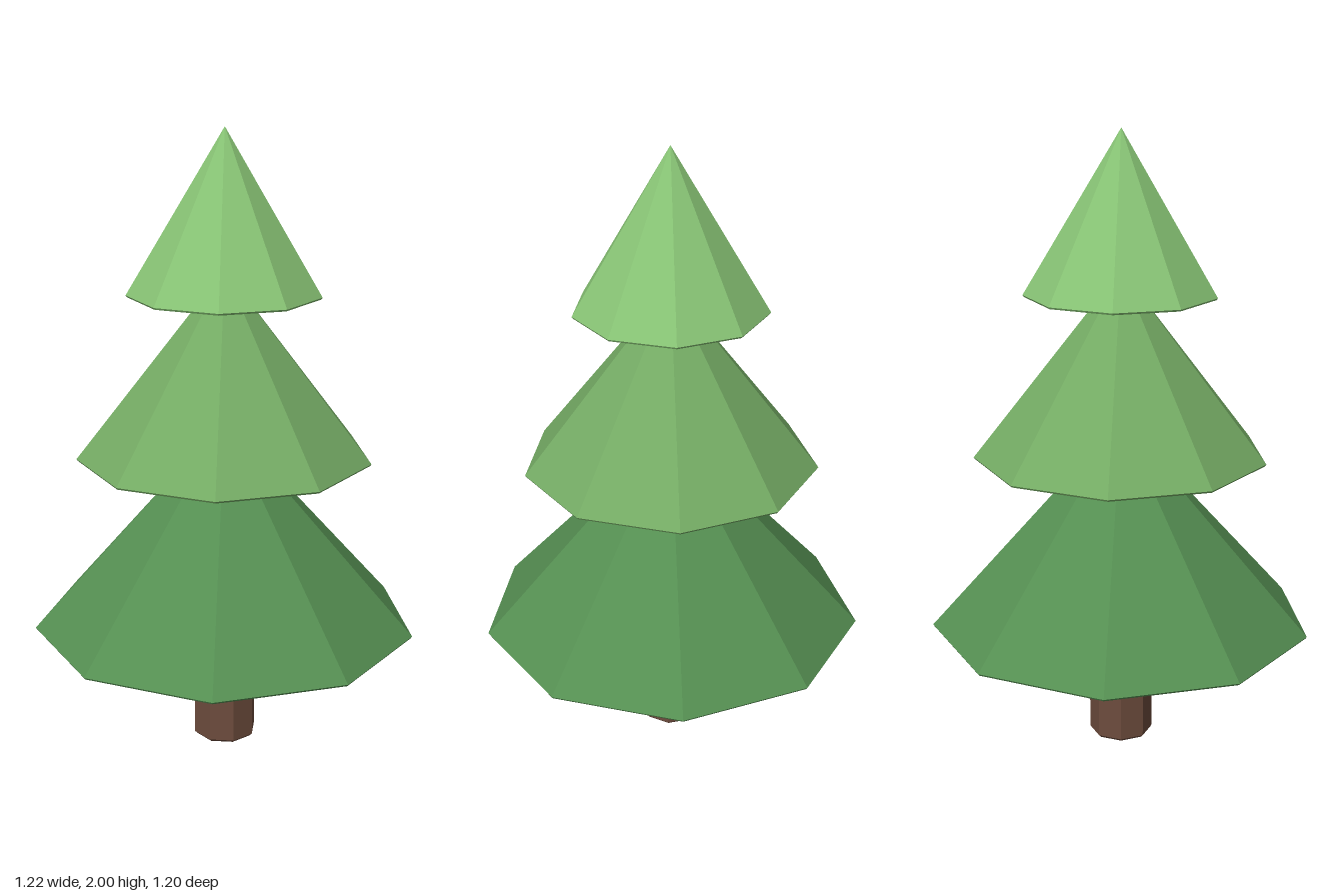
import * as THREE from 'three';

const CENTRE_Z = 0.0185; // the nine-sided tiers put the axis slightly forward

// Faceted solid of revolution from [radius, y] pairs, listed bottom to top
function facetedLathe(name, profile, sides, phase, color) {
  const points = profile.map(([r, y]) => new THREE.Vector2(r, y));
  const geometry = new THREE.LatheGeometry(points, sides, phase);
  const material = new THREE.MeshStandardMaterial({ color, flatShading: true });
  const mesh = new THREE.Mesh(geometry, material);
  mesh.name = name;
  mesh.position.z = CENTRE_Z;
  return mesh;
}

export function createModel() {
  const tree = new THREE.Group();
  tree.name = 'pineTree';

  // Eight-sided trunk with a small chamfer at the foot
  tree.add(facetedLathe('trunk',
    [[0, 0], [0.094, 0], [0.103, 0.009], [0.103, 0.5], [0, 0.5]], 8, 0, 0x6d4c3d));

  // Foliage cones, each with a thin rim under its edge
  const tiers = [
    { name: 'lowerFoliage', radius: 0.618, base: 0.396, apex: 1.085, color: 0x558f52 },
    { name: 'middleFoliage', radius: 0.471, base: 0.965, apex: 1.567, color: 0x74ab64 },
    { name: 'upperFoliage', radius: 0.307, base: 1.486, apex: 2, color: 0x88c475 },
  ];
  for (const { name, radius, base, apex, color } of tiers) {
    tree.add(facetedLathe(name,
      [[0, base], [radius - 0.004, base], [radius, base + 0.006], [0, apex]], 9, Math.PI, color));
  }
  return tree;
}
